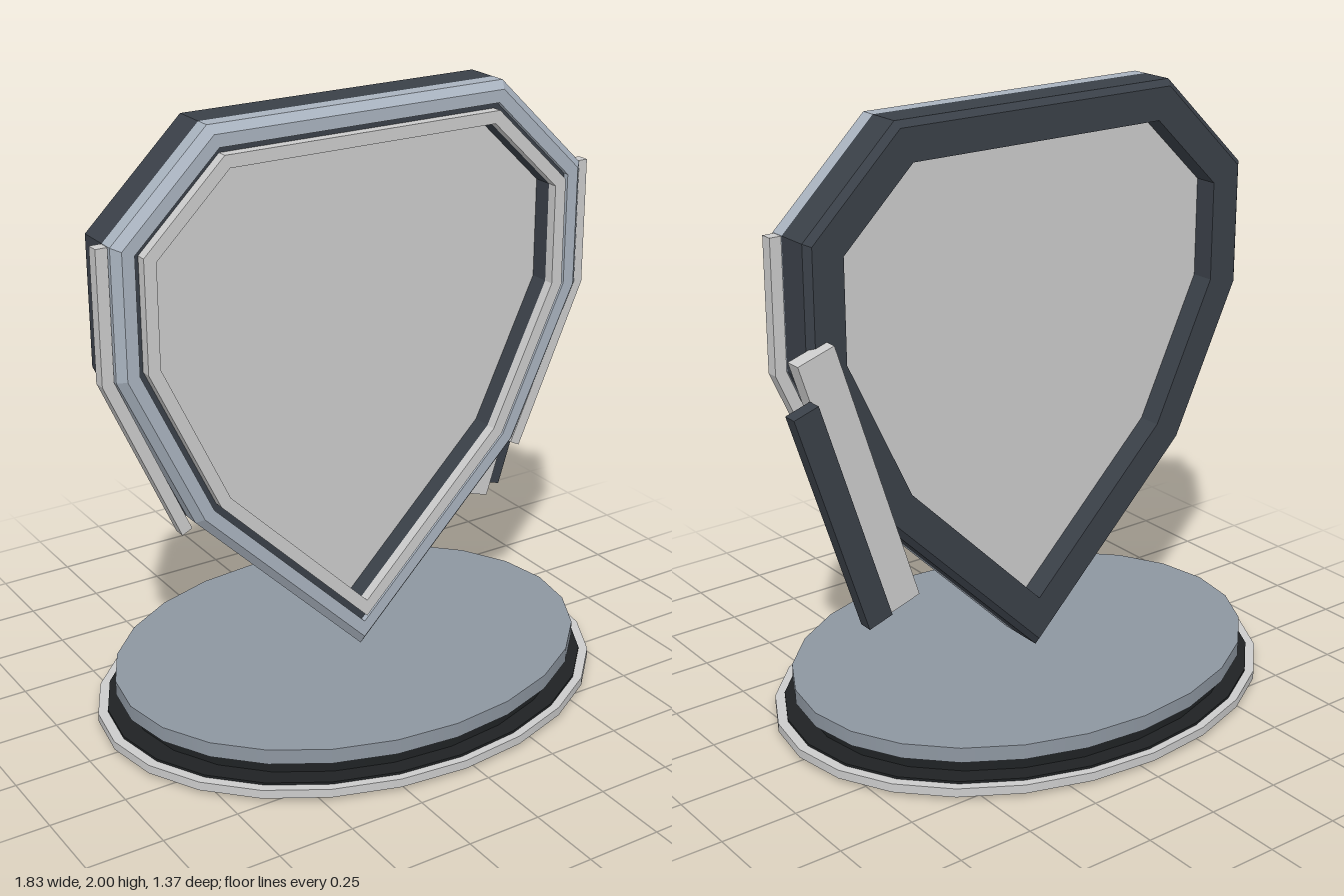
import * as THREE from 'three';

const material = (color) => new THREE.MeshStandardMaterial({ color, flatShading: true });
const dark = material(0x3a4048);
const steel = material(0xa9b3bf);
const light = material(0xcccccc);
const slate = material(0x8d96a0);
const black = material(0x1f2224);

// Right half of the shield outline, bottom tip to top edge, then mirrored (counter-clockwise)
const half = [[0.6, 0.77], [0.84, 1.28], [0.84, 1.69], [0.52, 2]];
const outline = [[0, 0.17], ...half, ...half.map(([x, y]) => [-x, y]).reverse()]
  .map(([x, y]) => new THREE.Vector2(x, y));

// Outline moved inward by d with mitred corners
function inset(d) {
  const n = outline.length;
  const normal = (a, b) => new THREE.Vector2(b.y - a.y, a.x - b.x).normalize();
  return outline.map((p, i) => {
    const n1 = normal(outline[(i + n - 1) % n], p);
    const n2 = normal(p, outline[(i + 1) % n]);
    const k = -d / (1 + n1.dot(n2));
    return p.clone().addScaledVector(n1.clone().add(n2), k);
  });
}

// Closed [inset, z] profile swept around the outline
function frame(profile) {
  const rings = profile.map(([d, z]) => inset(d).map((p) => [p.x, p.y, z]));
  const positions = [];
  rings.forEach((ring, j) => {
    const next = rings[(j + 1) % rings.length];
    ring.forEach((a, i) => {
      const k = (i + 1) % ring.length;
      positions.push(...a, ...ring[k], ...next[k], ...a, ...next[k], ...next[i]);
    });
  });
  const geometry = new THREE.BufferGeometry();
  geometry.setAttribute('position', new THREE.Float32BufferAttribute(positions, 3));
  geometry.computeVertexNormals();
  return geometry;
}

function plate(points, z0, z1) {
  const geometry = new THREE.ExtrudeGeometry(new THREE.Shape(points), { depth: z1 - z0, bevelEnabled: false });
  return geometry.translate(0, 0, z0);
}

export function createModel() {
  const model = new THREE.Group();
  const body = new THREE.Group();
  body.name = 'standAndShield';
  body.position.x = -0.04;
  model.add(body);

  const add = (name, geometry, mat, parent = body) => {
    const mesh = new THREE.Mesh(geometry, mat);
    mesh.name = name;
    parent.add(mesh);
    return mesh;
  };

  // Stepped oval base: [name, half width, bottom, top, material]
  [
    ['baseFoot', 0.84, 0, 0.05, black],
    ['baseRim', 0.873, 0.013, 0.042, light],
    ['baseGroove', 0.77, 0.05, 0.105, black],
    ['baseTop', 0.81, 0.1, 0.15, slate],
  ].forEach(([name, r, y0, y1, mat]) => {
    const geometry = new THREE.CylinderGeometry(r, r, y1 - y0, 24);
    geometry.scale(1, 1, 0.787).translate(0, (y0 + y1) / 2, 0);
    const smooth = mat.clone();
    smooth.flatShading = false;
    add(name, geometry, smooth);
  });

  // Shield frame: dark back, steel front bezel, raised inner trim
  add('backFrame', frame([[0.02, -0.1], [0, -0.08], [0, 0.03], [0.05, 0.03], [0.05, 0.085], [0.125, 0.085], [0.125, -0.1]]), dark);
  add('frontBezel', frame([[0, 0.03], [0, 0.08], [0.025, 0.105], [0.065, 0.105], [0.065, 0.03]]), steel);
  add('innerTrim', frame([[0.085, 0.085], [0.085, 0.12], [0.125, 0.12], [0.125, 0.085]]), light);
  add('panel', plate(inset(0.12), -0.02, 0.02), light);

  // Bent strips along both sides
  const strip = [[0.842, 1.69], [0.88, 1.69], [0.88, 1.272], [0.64, 0.733], [0.606, 0.75], [0.842, 1.28]];
  for (const s of [1, -1]) {
    add(s > 0 ? 'leftSideStrip' : 'rightSideStrip',
      plate(strip.map(([x, y]) => new THREE.Vector2(s * x, y)), 0.03, 0.07), light);
  }

  // Slanted bars behind the shield
  const lightBar = add('innerBar', new THREE.BoxGeometry(0.13, 0.91, 0.055), light, model);
  lightBar.position.set(0.664, 0.94, -0.1125);
  const darkBar = add('outerBar', new THREE.BoxGeometry(0.087, 0.765, 0.048), dark, model);
  darkBar.position.set(0.754, 0.865, -0.164);
  lightBar.rotation.z = darkBar.rotation.z = -0.31;

  return model;
}
